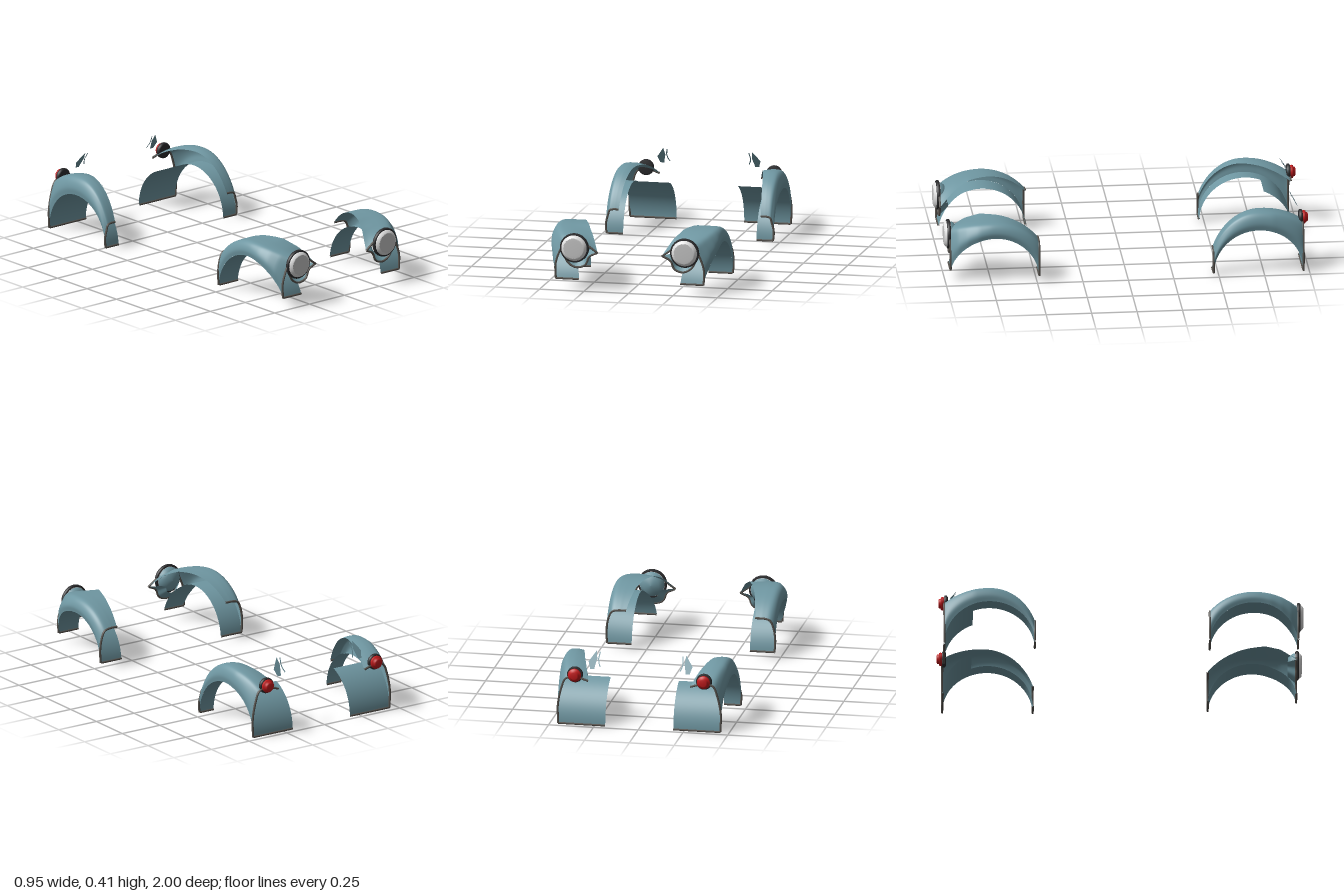
import * as THREE from 'three';

const mat = (name, color, side = THREE.FrontSide) => {
  const m = new THREE.MeshStandardMaterial({ color, side });
  m.name = name;
  return m;
};
const lerp = THREE.MathUtils.lerp;

// piecewise linear lookup through [input, output] pairs
function along(table, v) {
  for (let i = 1; i < table.length; i++) {
    const [a, b] = [table[i - 1], table[i]];
    if (v <= b[0] || i === table.length - 1) {
      const t = THREE.MathUtils.clamp((v - a[0]) / (b[0] - a[0]), 0, 1);
      return lerp(a[1], b[1], t);
    }
  }
}

// smooth sheet through rows of points
function loft(rows) {
  const n = rows[0].length, index = [];
  for (let i = 0; i < rows.length - 1; i++) {
    for (let j = 0; j < n - 1; j++) {
      const a = i * n + j, b = a + n;
      index.push(a, b, a + 1, b, b + 1, a + 1);
    }
  }
  const g = new THREE.BufferGeometry().setFromPoints(rows.flat());
  g.setIndex(index);
  g.computeVertexNormals();
  return g;
}

// z tables run toward increasing z; a arches are half lengths on the two sides of the peak
const FRONT = {
  cz: 0.73, cy: 0.01, r: 0.245, from: 5, to: 168, H: 0.325, aLow: 0.32, aHigh: 0.43,
  outer: [[0.49, 0.467], [0.82, 0.468], [0.88, 0.458], [0.93, 0.44], [0.97, 0.415]],
  inner: [[0.49, 0.36], [0.62, 0.33], [0.73, 0.295], [0.84, 0.25], [0.97, 0.18]],
  drop: [[0.49, 0.0], [0.8, 0.0], [0.88, 0.02], [0.97, 0.07]],
  lean: [[0.75, 0], [0.97, 0.025]],
  liners: [{ from: 5, to: 168, inner: [[0.49, 0.33], [0.85, 0.33], [0.97, 0.285]] }],
};
const REAR = {
  cz: -0.72, cy: 0.005, r: 0.248, from: 0, to: 178, H: 0.345, aLow: 0.395, aHigh: 0.272,
  outer: [[-0.968, 0.452], [-0.8, 0.465], [-0.47, 0.468]],
  inner: [[-0.968, 0.285], [-0.8, 0.335], [-0.65, 0.37], [-0.47, 0.4]],
  drop: [[-0.968, 0.02], [-0.8, 0.01], [-0.47, 0]],
  lean: [[-0.968, 0.012], [-0.8, 0]],
  liners: [
    { from: 0, to: 68.7, inner: [[-1, 0.19], [0, 0.19]] },
    { from: 68.7, to: 178, inner: [[-1, 0.375], [0, 0.375]] },
  ],
};

// point on the wheel arch at an angle measured from its low z end
const arch = (f, deg) => {
  const t = THREE.MathUtils.degToRad(deg);
  return [f.cz - f.r * Math.cos(t), f.cy + f.r * Math.sin(t)];
};

// one cross-section of the cover, from the outer lip over the crown to the inner edge
function coverSection(f, s, deg) {
  const [z, lip] = arch(f, deg);
  const d = z - f.cz, a = d < 0 ? f.aLow : f.aHigh;
  const top = f.cy + f.H * Math.sqrt(1 - (d / a) ** 2);
  const xo = along(f.outer, z), xi = along(f.inner, z), lean = along(f.lean, z);
  const w = Math.min(0.065, (xo - xi) * 0.6), end = top - along(f.drop, z);
  const xs = xo - w - lean;
  const ctrl = [
    [xo, lip], [xo + 0.004 - lean * 0.1, lerp(lip, top, 0.38)],
    [xo - 0.008 - lean * 0.8, lerp(lip, top, 0.76)], [xo - w * 0.42 - lean, lerp(lip, top, 0.95)],
    [xs, top], [(xs + xi) / 2, lerp(top, end, 0.3)], [xi, end],
  ].map(([x, y]) => new THREE.Vector3(s * x, y, z));
  return new THREE.CatmullRomCurve3(ctrl).getPoints(28);
}

// one row across the wheel liner
function linerRow(f, s, deg, table) {
  const [z, y] = arch(f, deg);
  return [along(f.outer, z), along(table, z)].map((x) => new THREE.Vector3(s * x, y, z));
}

const steps = (from, to, n) => Array.from({ length: n + 1 }, (_, i) => lerp(from, to, i / n));

export function createModel() {
  const paint = mat('blue paint', 0x6f97a2, THREE.DoubleSide);
  const trim = mat('grey edging', 0x57534e);
  const rubber = mat('black rubber', 0x2b2b2d);
  const chrome = mat('pale metal', 0xe2e2e2);
  const glass = mat('lamp glass', 0xc6c6c6);
  const red = mat('red lens', 0xc01a1c);
  const model = new THREE.Group();

  const add = (parent, name, geo, material) => {
    const m = new THREE.Mesh(geo, material);
    m.name = name;
    parent.add(m);
    return m;
  };
  const bead = (parent, name, pts, r = 0.006) => {
    const curve = new THREE.CatmullRomCurve3(pts, false, 'centripetal');
    add(parent, name, new THREE.TubeGeometry(curve, 40, r, 6), trim);
  };
  // turned part whose axis points along z; dir flips it toward the rear
  const turned = (parent, name, profile, material, dir = 1) => {
    const g = new THREE.LatheGeometry(profile.map(([r, h]) => new THREE.Vector2(r, h)), 32);
    g.rotateX(dir * Math.PI / 2);
    return add(parent, name, g, material);
  };

  const fender = (f, s, name) => {
    const g = new THREE.Group();
    g.name = name;
    add(g, 'fenderCover', loft(steps(f.from, f.to, 48).map((d) => coverSection(f, s, d))), paint);
    for (const l of f.liners) {
      add(g, 'wheelLiner', loft(steps(l.from, l.to, 32).map((d) => linerRow(f, s, d, l.inner))), paint);
    }
    for (const deg of [f.from, f.to]) {
      const l = deg === f.from ? f.liners[0] : f.liners.at(-1);
      bead(g, 'coverEdging', coverSection(f, s, deg).filter((_, i) => i % 2 === 0));
      bead(g, 'linerEdging', linerRow(f, s, deg, l.inner));
    }
    model.add(g);
    return g;
  };

  for (const s of [1, -1]) {
    // front fender with headlamp
    const front = fender(FRONT, s, s > 0 ? 'frontFenderLeft' : 'frontFenderRight');
    const rim = [[0.18, 0.212], [0.228, 0.188], [0.25, 0.142], [0.3, 0.126], [0.345, 0.148], [0.375, 0.2]];
    const scoop = new THREE.CatmullRomCurve3(
      rim.map(([x, y]) => new THREE.Vector3(s * x, y, 0.968)), false, 'centripetal').getPoints(24);
    const back = scoop.map((p) => new THREE.Vector3(
      lerp(s * 0.31, p.x, 0.6), lerp(0.235, p.y, 0.6), 0.92));
    add(front, 'lampScoop', loft([scoop, back]), paint);
    bead(front, 'scoopEdging', scoop.filter((_, i) => i % 2 === 0));

    const lamp = new THREE.Group();
    lamp.name = 'headlamp';
    lamp.position.set(s * 0.31, 0.235, 0.965);
    turned(lamp, 'lampBucket', [[0, -0.045], [0.045, -0.04], [0.066, -0.015], [0.07, 0]], paint);
    turned(lamp, 'lampSeal', [[0, -0.002], [0.074, -0.002], [0.081, 0.002], [0.081, 0.014], [0.074, 0.018], [0, 0.018]], rubber);
    turned(lamp, 'lampRing', [[0.073, 0.014], [0.07, 0.022], [0.06, 0.032], [0.055, 0.034]], chrome);
    turned(lamp, 'lampBack', [[0, -0.004], [0.07, -0.004], [0.07, -0.001]], chrome);
    turned(lamp, 'lampLens', [[0.057, 0.0335], [0.04, 0.035], [0, 0.035]], glass);
    front.add(lamp);

    // rear fender with tail lamp and bent bracket plates
    const rear = fender(REAR, s, s > 0 ? 'rearFenderLeft' : 'rearFenderRight');
    const tail = new THREE.Group();
    tail.name = 'tailLamp';
    tail.position.set(s * 0.36, 0.285, -0.96);
    turned(tail, 'tailSeal', [[0, -0.012], [0.035, -0.012], [0.044, -0.006], [0.044, 0.006], [0.036, 0.01], [0, 0.01]], rubber, -1);
    turned(tail, 'tailLens', [[0.035, 0.008], [0.037, 0.02], [0.034, 0.026], [0.027, 0.027], [0.025, 0.036], [0.018, 0.04], [0, 0.04]], red, -1);
    rear.add(tail);

    const plate = (name, left, right) => add(rear, name, loft([left, right].map((side) =>
      side.map(([x, y]) => new THREE.Vector3(s * x, y, -0.95 + (y - 0.32) * 0.55)))), paint);
    plate('bracketPlate', [[0.25, 0.41], [0.243, 0.37], [0.252, 0.335], [0.255, 0.318]],
      [[0.252, 0.408], [0.29, 0.355], [0.283, 0.335], [0.278, 0.318]]);
    plate('bracketTab', [[0.227, 0.405], [0.233, 0.37], [0.229, 0.35], [0.22, 0.33]],
      [[0.233, 0.405], [0.239, 0.37], [0.235, 0.35], [0.226, 0.33]]);
  }
  return model;
}
